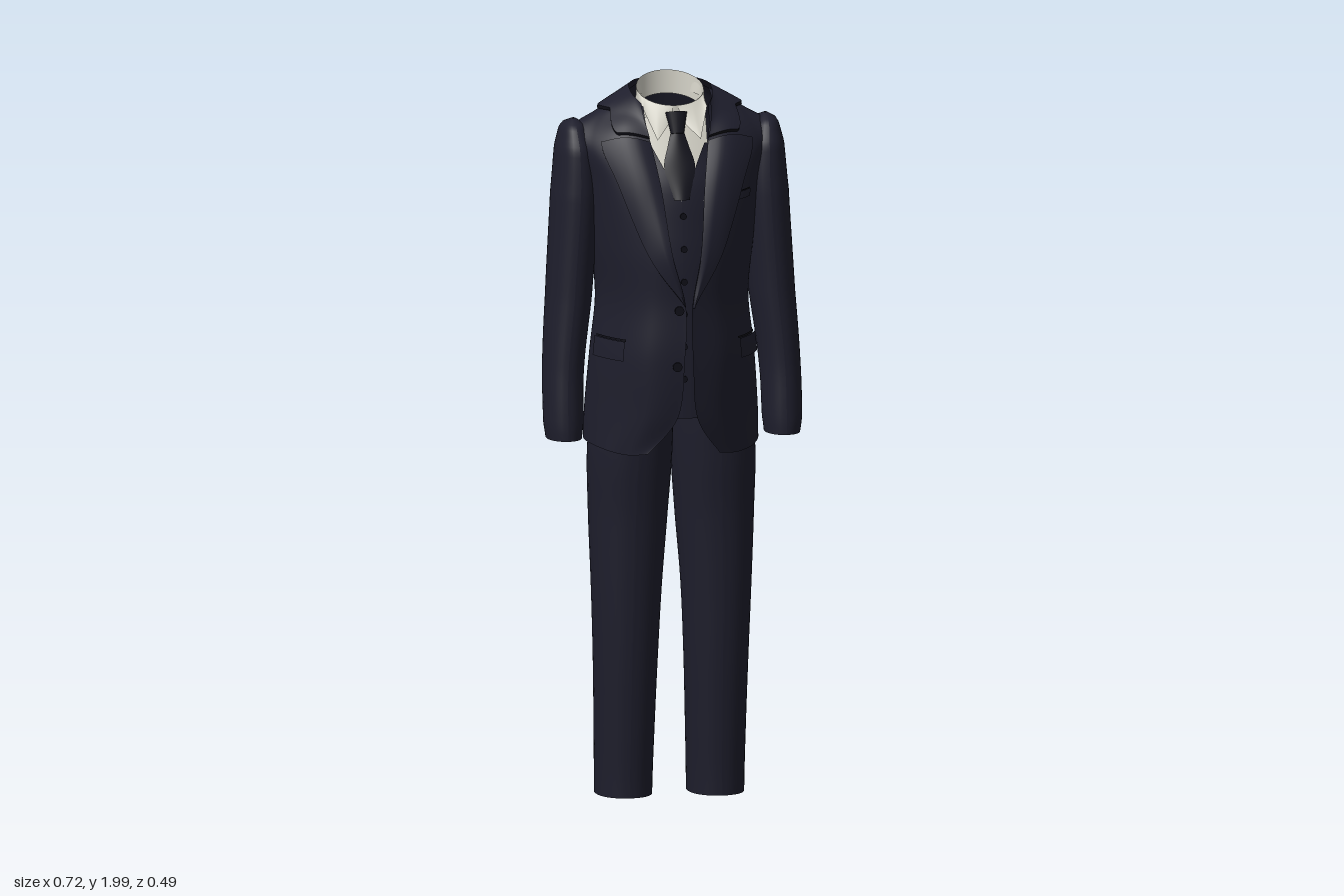
import * as THREE from 'three';

const mat = (name, color) => new THREE.MeshStandardMaterial({ name, color, side: THREE.DoubleSide });
const cloth = mat('navyCloth', 0x1e1e2c);
const tieCloth = mat('darkTie', 0x14141d);
const seam = mat('seamShadow', 0x0e0e16);
const linen = mat('shirtLinen', 0xd6d4c9);

const V = (x, y, z) => new THREE.Vector3(x, y, z);
const lerp = THREE.MathUtils.lerp;
const smooth = THREE.MathUtils.smoothstep;

// Grid surface from a rule f(s, t), with s and t in 0..1
function patch(name, material, nu, nv, f) {
  const pos = [], idx = [];
  for (let j = 0; j <= nv; j++)
    for (let i = 0; i <= nu; i++) pos.push(...f(i / nu, j / nv).toArray());
  for (let j = 0; j < nv; j++)
    for (let i = 0; i < nu; i++) {
      const a = j * (nu + 1) + i, b = a + nu + 1;
      idx.push(a, a + 1, b + 1, a, b + 1, b);
    }
  const g = new THREE.BufferGeometry();
  g.setAttribute('position', new THREE.Float32BufferAttribute(pos, 3));
  g.setIndex(idx);
  g.computeVertexNormals();
  const m = new THREE.Mesh(g, material);
  m.name = name;
  return m;
}

// Smooth curve through four neighbouring values
function spline(a, b, c, d, t) {
  return b + 0.5 * t * (c - a + t * (2 * a - 5 * b + 4 * c - d + t * (3 * (b - c) + d - a)));
}

// Interpolate a table of rows [y, ...values] at height y (rows run downwards)
function atHeight(rows, y) {
  let i = 0;
  while (i < rows.length - 2 && y < rows[i + 1][0]) i++;
  const t = THREE.MathUtils.clamp((rows[i][0] - y) / (rows[i][0] - rows[i + 1][0]), 0, 1);
  const r = k => rows[THREE.MathUtils.clamp(k, 0, rows.length - 1)];
  return rows[0].slice(1).map((_, k) =>
    spline(r(i - 1)[k + 1], r(i)[k + 1], r(i + 1)[k + 1], r(i + 2)[k + 1], t));
}

// Jacket half sections from front edge to centre back: level rows are y, then x, z pairs
const levelRows = [
  [1.09, .03, .22, .11, .185, .2, .095, .238, -.04, .165, -.185, 0, -.225],
  [1.25, .015, .24, .11, .195, .195, .095, .225, -.03, .16, -.17, 0, -.205],
  [1.40, .012, .24, .1, .19, .18, .095, .21, -.03, .15, -.165, 0, -.19],
  [1.55, .04, .222, .11, .185, .19, .1, .225, -.03, .165, -.175, 0, -.2],
  [1.72, .06, .165, .13, .15, .205, .085, .245, -.04, .18, -.175, 0, -.2],
];
const triples = a => Array.from({ length: 6 }, (_, i) => V(a[3 * i], a[3 * i + 1], a[3 * i + 2]));
const net = [
  triples([.1, .985, .175, .155, .98, .145, .212, .99, .085, .24, 1, -.05, .17, 1.015, -.195, 0, 1.02, -.24]),
  ...levelRows.map(r => Array.from({ length: 6 }, (_, i) => V(r[1 + 2 * i], r[0], r[2 + 2 * i]))),
  triples([.08, 1.84, .105, .15, 1.85, .09, .23, 1.83, .04, .275, 1.85, -.05, .19, 1.83, -.155, 0, 1.84, -.18]),
  triples([.088, 1.89, .075, .13, 1.905, .04, .19, 1.905, -.01, .205, 1.905, -.06, .14, 1.905, -.13, 0, 1.9, -.165]),
  triples([.09, 1.93, .05, .105, 1.94, .01, .11, 1.95, -.03, .105, 1.96, -.07, .07, 1.965, -.125, 0, 1.97, -.145]),
];

// u runs 0..10 from the left front edge round the back to the right one, v runs 0..8 upwards
function netPoint(u, v) {
  const cell = (i, j) => {
    i = THREE.MathUtils.clamp(i, 0, 10);
    j = THREE.MathUtils.clamp(j, 0, 8);
    const p = net[j][i > 5 ? 10 - i : i].clone();
    if (i > 5) p.x = -p.x;
    if (i === 10 && j > 0 && j < 4) { p.x += .01; p.z -= .02; }
    return p;
  };
  const i = Math.min(Math.floor(u), 9), j = Math.min(Math.floor(v), 7);
  const c = [-1, 0, 1, 2].map(dj => {
    const q = [-1, 0, 1, 2].map(di => cell(i + di, j + dj));
    return ['x', 'y', 'z'].map(k => spline(q[0][k], q[1][k], q[2][k], q[3][k], u - i));
  });
  return V(...[0, 1, 2].map(k => spline(c[0][k], c[1][k], c[2][k], c[3][k], v - j)));
}
function jacketPoint(u, v, off = 0) {
  const p = netPoint(u, v), e = .02;
  if (!off) return p;
  const du = netPoint(Math.min(u + e, 10), v).sub(netPoint(Math.max(u - e, 0), v));
  const dv = netPoint(u, Math.min(v + e, 8)).sub(netPoint(u, Math.max(v - e, 0)));
  return p.addScaledVector(du.cross(dv).normalize(), off);
}

// Tube of rounded sections; rows are y, x inner, x outer, z front, z back
function limb(name, rows, side, power, segs) {
  const top = rows[0][0], low = rows[rows.length - 1][0];
  return patch(name, cloth, 40, segs, (s, t) => {
    const y = lerp(low, top, Math.pow(t, .8) * .3 + t * .7);
    const [a, b, f, k] = atHeight(rows, y), w = s * Math.PI * 2;
    const pw = n => Math.sign(n) * Math.pow(Math.abs(n), 2 / power);
    return V(side * ((a + b) / 2 + (b - a) / 2 * pw(Math.sin(w))), y, (f + k) / 2 + (f - k) / 2 * pw(Math.cos(w)));
  });
}
const sleeveRows = [
  [1.888, .262, .272, -.045, -.055], [1.882, .245, .29, -.01, -.09], [1.86, .23, .304, .012, -.125],
  [1.81, .21, .317, .04, -.145], [1.68, .2, .329, .055, -.15], [1.4, .22, .345, .06, -.135],
  [1.2, .245, .357, .068, -.105], [1.05, .25, .358, .08, -.075], [1.01, .255, .352, .08, -.07],
];
const legRows = [
  [1.12, 0, .21, .135, -.155], [.98, 0, .23, .125, -.163], [.8, .012, .228, .106, -.155],
  [.6, .028, .221, .094, -.137], [.4, .038, .214, .082, -.14], [.2, .045, .209, .066, -.15],
  [.008, .05, .206, .052, -.158],
];

// Depth of the shirt and waistcoat at their centre line
const shirtZ = y => .05 + (1.9 - y) * .42;
const vestRows = [[1.83, .09], [1.72, .136], [1.6, .156], [1.5, .165], [1.08, .165]];
const vestZ = y => atHeight(vestRows, y)[0];

export function createModel() {
  const suit = new THREE.Group();
  suit.name = 'suit';
  const add = (...m) => suit.add(...m);

  // Jacket body
  add(patch('jacketBody', cloth, 120, 72, (s, t) => jacketPoint(s * 10, t * 8)));

  // Jacket collar, deep at the notches and shallow round the back
  const collarLow = u => lerp(6.14, 7.15, smooth(Math.min(u, 10 - u), 1.15, 1.8));
  add(patch('jacketCollar', cloth, 120, 12, (s, t) => {
    const u = s * 10, p = jacketPoint(u, lerp(collarLow(u), 8, t), .011 - .004 * t);
    p.y += .008 * t;
    return p;
  }));
  add(patch('collarSeam', seam, 120, 1, (s, t) =>
    jacketPoint(s * 10, collarLow(s * 10) - .05 * (1 - t), .004 + .007 * t)));

  const lapelWidth = t => 1.65 * Math.pow(Math.sin(t * Math.PI / 2), .9);
  for (const side of [1, -1]) {
    const at = (u, v, off) => jacketPoint(side > 0 ? u : 10 - u, v, off);
    const strip = (name, material, u0, u1, v0, v1, off) =>
      add(patch(name, material, 12, 12, (s, t) => at(lerp(u0, u1, s), lerp(v0, v1, t), off)));

    // Lapel with a dark line along its edge
    add(patch('lapel', cloth, 14, 40, (s, t) =>
      at(s * lapelWidth(t), 3 + 3 * t, .003 + .008 * Math.min(1, s * 3))));
    add(patch('lapelEdge', seam, 1, 40, (s, t) =>
      at(lapelWidth(t) + .035 * s, 3 + 3 * t, .011 - .008 * s)));

    // Hip pocket flap, side vent and armhole limbs
    strip('pocketFlap', cloth, 1.5, 2.5, 1.95, 2.3, .009);
    strip('pocketSeam', seam, 1.5, 2.5, 2.3, 2.34, .004);
    strip('sideVent', seam, 4.1, 4.13, 0, 1.7, .002);
    add(limb('sleeve', sleeveRows, side, 2.1, 60));
    add(limb('trouserLeg', legRows, side, 2.2, 50));

    // Sleeve buttons
    for (let i = 0; i < 3; i++) {
      const b = new THREE.Mesh(new THREE.SphereGeometry(.007, 10, 8), seam);
      b.name = 'cuffButton';
      b.position.set(side * .33, 1.045 + i * .028, -.066 - i * .007);
      add(b);
    }

    // Waistcoat half with its neck opening
    add(patch('waistcoat', cloth, 12, 40, (s, t) => {
      const y = lerp(1.08, 1.83, t);
      const x = lerp(Math.max(0, (y - 1.68) * .5), lerp(.16, .12, t), s);
      return V(side * x, y, vestZ(y) - 2.2 * x * x);
    }));

    // Folded shirt collar wing: [ring angle, x, y, z of lower edge]
    const wing = [[5, .01, 1.895, .058], [30, .06, 1.845, .106], [60, .09, 1.925, .035],
      [90, .094, 1.935, -.05], [145, .056, 1.945, -.115], [180, 0, 1.95, -.128]];
    add(patch('shirtCollarWing', linen, 50, 6, (s, t) => {
      const k = Math.min(Math.floor(s * 5), 4), f = s * 5 - k;
      const [a, x, y, z] = wing[k].map((n, i) => lerp(n, wing[k + 1][i], f));
      const top = ringPoint(a * Math.PI / 180, 1);
      return V(side * lerp(x, top.x, t), lerp(y, top.y, t), lerp(z, top.z, t));
    }));
  }

  // Chest pocket and back seam
  add(patch('chestPocket', cloth, 12, 3, (s, t) => jacketPoint(1 + .85 * s, 4.73 + .04 * s + .13 * t, .006)));
  add(patch('chestPocketSeam', seam, 12, 1, (s, t) => jacketPoint(1 + .85 * s, 4.86 + .04 * s + .02 * t, .004)));
  add(patch('backSeam', seam, 1, 50, (s, t) => jacketPoint(4.99 + .02 * s, 7 * t, .0015)));

  // Shirt: collar stand and front
  add(patch('shirtCollarStand', linen, 64, 4, (s, t) => {
    const p = ringPoint(s * Math.PI * 2, .985);
    p.y -= (1 - t) * .065;
    return p;
  }));
  add(patch('shirtFront', linen, 16, 12, (s, t) => {
    const x = lerp(-.085, .085, s), y = lerp(1.68, 1.9, t);
    return V(x, y, shirtZ(y) - 1.5 * x * x);
  }));

  // Tie blade and knot
  add(patch('tieBlade', tieCloth, 12, 20, (s, t) => {
    const y = lerp(1.685, 1.875, t), k = 2 * s - 1;
    const w = atHeight([[1.875, .016], [1.83, .028], [1.77, .043], [1.685, .022]], y)[0];
    return V(k * w, y, shirtZ(y) + .016 - .008 * k * k);
  }));
  const knot = new THREE.Mesh(new THREE.CylinderGeometry(.03, .018, .06, 20), tieCloth);
  knot.name = 'tieKnot';
  knot.scale.z = .6;
  knot.rotation.x = -.35;
  knot.position.set(0, 1.885, .068);
  add(knot);

  // Buttons down the waistcoat and on the right jacket front
  const button = (name, r, p) => {
    const b = new THREE.Mesh(new THREE.CylinderGeometry(r, r, .006, 16), seam);
    b.name = name;
    b.rotation.x = Math.PI / 2;
    b.position.copy(p);
    add(b);
  };
  for (let i = 0; i < 6; i++) button('waistcoatButton', .009, V(.003, 1.64 - i * .09, vestZ(1.64 - i * .09) + .003));
  for (const v of [2.93, 1.9]) button('jacketButton', .013, jacketPoint(9.75, v, .006));
  return suit;
}

// Tilted upper rim of the shirt collar; angle 0 is the front
function ringPoint(a, k) {
  return V(.093 * k * Math.sin(a), 1.965 - .035 * Math.cos(a), -.04 + .085 * k * Math.cos(a));
}
